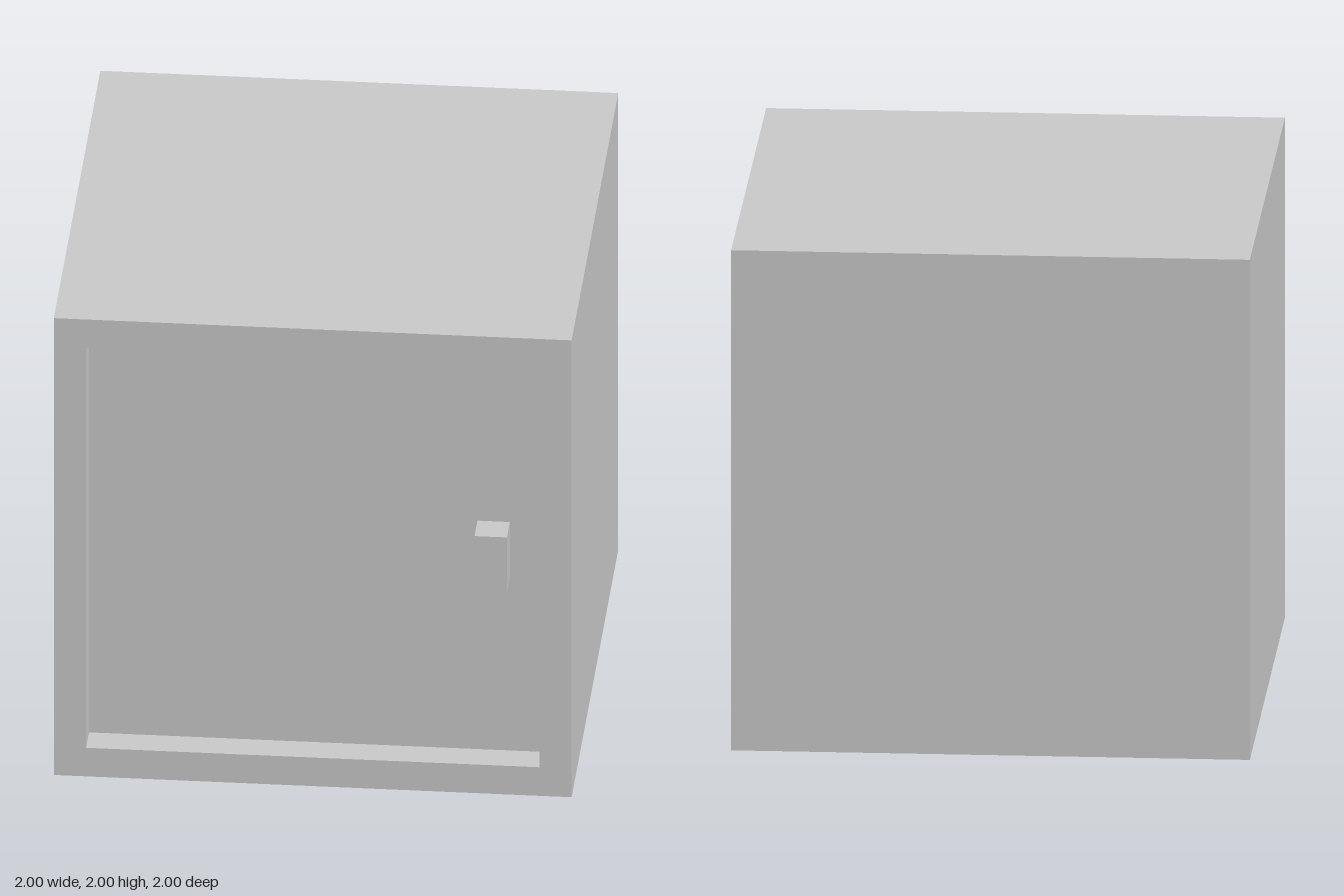
import * as THREE from 'three';

const grey = new THREE.MeshStandardMaterial({ color: 0xcccccc, flatShading: true });

function box(name, w, h, d, x, y, z) {
  const mesh = new THREE.Mesh(new THREE.BoxGeometry(w, h, d), grey);
  mesh.position.set(x, y, z);
  mesh.name = name;
  return mesh;
}

// Cube with a square recess in its front: a four-sided lathe turned to face +z.
function cabinetGeometry() {
  const profile = [[0, -1], [1, -1], [1, 1], [0.875, 1], [0.875, 0.8], [0, 0.8]]
    .map(([halfWidth, z]) => new THREE.Vector2(halfWidth * Math.SQRT2, z));
  const geometry = new THREE.LatheGeometry(profile, 4).toNonIndexed();
  geometry.rotateY(Math.PI / 4).rotateX(Math.PI / 2).translate(0, 1, 0);
  geometry.computeVertexNormals();
  return geometry;
}

export function createModel() {
  const model = new THREE.Group();
  model.name = 'cabinet';

  const body = new THREE.Mesh(cabinetGeometry(), grey);
  body.name = 'cabinetBody';
  model.add(body);

  // Door set back inside the frame, with its handle flush with the frame front
  model.add(box('door', 1.75, 1.75, 0.075, 0, 1, 0.8375));
  model.add(box('doorHandle', 0.125, 0.25, 0.125, 0.6875, 1, 0.9375));

  return model;
}
